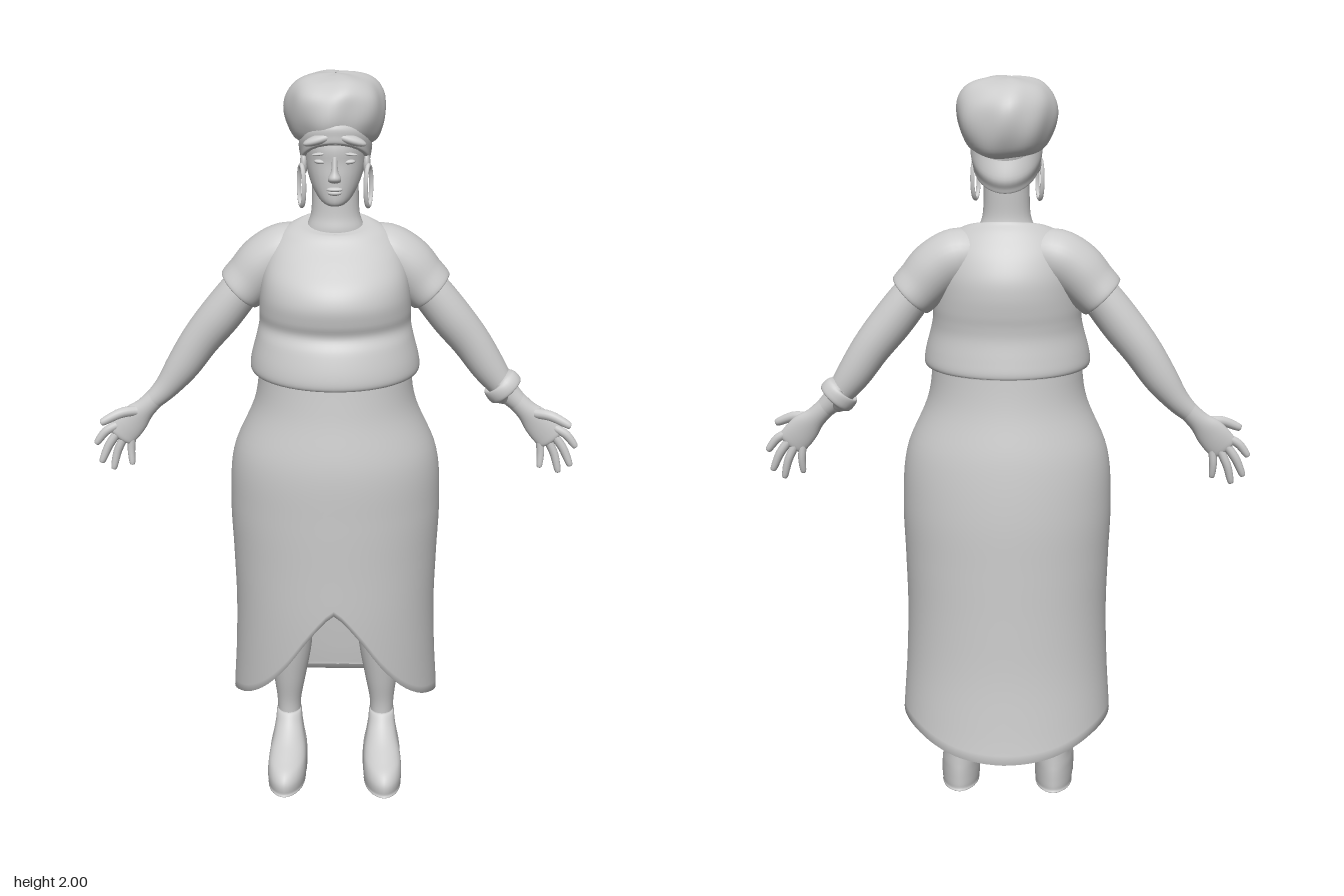
import * as THREE from 'three';

const material = new THREE.MeshStandardMaterial({ color: 0xcccccc, roughness: 0.8, side: THREE.DoubleSide });

// Smooth interpolation through rows of numbers, t in 0..1
function spline(rows, t) {
  const f = t * (rows.length - 1);
  const i = Math.min(Math.floor(f), rows.length - 2);
  const u = f - i;
  const at = (k) => rows[Math.max(0, Math.min(rows.length - 1, k))];
  const [a, b, c, d] = [at(i - 1), at(i), at(i + 1), at(i + 2)];
  return b.map((_, k) => b[k] + 0.5 * u * (c[k] - a[k]
    + u * (2 * a[k] - 5 * b[k] + 4 * c[k] - d[k] + u * (3 * (b[k] - c[k]) + d[k] - a[k]))));
}

// Grid surface closed around: point(t, angle) returns [x, y, z]
function surface(name, rows, sides, point) {
  const pos = [], index = [];
  for (let i = 0; i <= rows; i++) {
    for (let j = 0; j < sides; j++) pos.push(...point(i / rows, (j / sides) * Math.PI * 2));
  }
  for (let i = 0; i < rows; i++) {
    for (let j = 0; j < sides; j++) {
      const k = (j + 1) % sides;
      const a = i * sides + j, b = i * sides + k;
      index.push(a, b, b + sides, a, b + sides, a + sides);
    }
  }
  const g = new THREE.BufferGeometry();
  g.setAttribute('position', new THREE.Float32BufferAttribute(pos, 3));
  g.setIndex(index);
  g.computeVertexNormals();
  const mesh = new THREE.Mesh(g, material);
  mesh.name = name;
  return mesh;
}

// Sweep of ellipses; stations are [x, y, z, radius in xy plane, radius in z]
function loft(name, stations, { sides = 24, steps = 5, side = 1, tweak } = {}) {
  const path = stations.map(([x, ...rest]) => [x * side, ...rest]);
  return surface(name, (path.length - 1) * steps, sides, (t, a) => {
    const [x, y, z, ra, rb] = spline(path, t);
    const p = spline(path, Math.max(0, t - 0.004)), q = spline(path, Math.min(1, t + 0.004));
    const dx = q[0] - p[0], dy = q[1] - p[1], len = Math.hypot(dx, dy) || 1;
    const s = Math.sin(a) * Math.max(ra, 0.0005), c = Math.cos(a) * Math.max(rb, 0.0005);
    const v = [x + (dy / len) * s, y - (dx / len) * s, z + c];
    return tweak ? tweak(v, a, t) : v;
  });
}

// Upright loft; stations are [y, half width, front z, back z]
const upright = (name, rows, options, x = 0) =>
  loft(name, rows.map(([y, w, f, b]) => [x, y, (f + b) / 2, w, (f - b) / 2]), options);

function ball(name, x, y, z, sx, sy, sz, tilt = 0) {
  const m = new THREE.Mesh(new THREE.SphereGeometry(1, 20, 14), material);
  m.name = name;
  m.position.set(x, y, z);
  m.scale.set(sx, sy, sz);
  m.rotation.z = tilt;
  return m;
}

// Long skirt whose hem rises to a slit at the front and dips at the back
function makeSkirt() {
  const profile = [ // [half width, front z, back z] at equal heights from 0.1 to 1.3
    [0.292, 0.2, -0.245], [0.288, 0.212, -0.226], [0.279, 0.226, -0.211], [0.275, 0.235, -0.205],
    [0.279, 0.238, -0.202], [0.284, 0.241, -0.198], [0.272, 0.24, -0.182], [0.212, 0.216, -0.152], [0.2, 0.2, -0.14]];
  const hem = [0.59, 0.515, 0.415, 0.34, 0.295, 0.272, 0.256, 0.25, 0.24, 0.225, 0.205, 0.187, 0.177, 0.173];
  return surface('skirt', 44, 80, (t, a) => {
    const around = Math.min(a, Math.PI * 2 - a) / Math.PI;
    const low = spline(hem.map((h) => [h]), around)[0];
    // First rows fold inwards as the hem's thickness
    const fold = Math.max(0, 1 - t * 22);
    const y = low + (1.225 - low) * Math.max(0, t - 0.045) / 0.955 + 0.025 * fold * fold;
    const [w, f, b] = spline(profile, (y - 0.1) / 1.2);
    const inset = 0.015 * fold;
    return [Math.sin(a) * (w - inset), y, (f + b) / 2 + Math.cos(a) * ((f - b) / 2 - inset)];
  });
}

function makeHead() {
  const head = new THREE.Group();
  head.name = 'head';
  head.add(
    upright('neck', [[1.55, 0.085, 0.05, -0.075], [1.6, 0.076, 0.055, -0.064], [1.64, 0.063, 0.048, -0.056],
      [1.7, 0.06, 0.045, -0.058], [1.75, 0.06, 0.04, -0.06]]),
    upright('face', [[1.677, 0.001, 0.075, 0.073], [1.68, 0.022, 0.095, 0.04], [1.692, 0.04, 0.104, 0],
      [1.72, 0.059, 0.106, -0.05], [1.755, 0.072, 0.106, -0.085], [1.79, 0.079, 0.104, -0.1],
      [1.83, 0.081, 0.105, -0.105], [1.88, 0.075, 0.09, -0.1]]),
    upright('nose', [[1.742, 0.001, 0.108, 0.1], [1.746, 0.015, 0.118, 0.09], [1.757, 0.016, 0.126, 0.09],
      [1.775, 0.009, 0.118, 0.09], [1.81, 0.007, 0.106, 0.09]], { sides: 14 }),
    ball('upperLip', 0, 1.726, 0.104, 0.021, 0.006, 0.009),
    ball('lowerLip', 0, 1.717, 0.103, 0.018, 0.007, 0.009));
  for (const s of [-1, 1]) {
    head.add(ball('eye', s * 0.036, 1.794, 0.09, 0.016, 0.006, 0.009, s * 0.08),
      ball('eyebrow', s * 0.037, 1.814, 0.092, 0.021, 0.004, 0.008, -s * 0.12),
      ball('ear', s * 0.08, 1.775, 0.025, 0.01, 0.03, 0.018));
    const hoop = new THREE.Mesh(new THREE.TorusGeometry(0.05, 0.006, 10, 32), material);
    hoop.name = 'earring';
    hoop.position.set(s * 0.085, 1.725, 0.058);
    hoop.scale.x = 0.42;
    hoop.rotation.y = Math.PI / 2 - s * 0.35;
    hoop.scale.y = 1.05;
    head.add(hoop);
  }
  // Head wrap: a band sloping down to the nape, and a soft lumpy bundle above it
  head.add(
    upright('wrapBand', [[1.778, 0.078, 0.1, -0.1], [1.775, 0.087, 0.112, -0.108], [1.79, 0.09, 0.114, -0.113],
      [1.82, 0.094, 0.11, -0.122], [1.86, 0.09, 0.07, -0.11]],
    { sides: 40, tweak: ([x, y, z]) => [x, y + 0.62 * z, z] }),
    upright('wrapBundle', [[1.8, 0.002, -0.02, -0.03], [1.81, 0.06, 0.05, -0.1], [1.826, 0.102, 0.09, -0.142],
      [1.865, 0.122, 0.108, -0.165], [1.91, 0.129, 0.109, -0.172], [1.95, 0.12, 0.098, -0.162],
      [1.98, 0.094, 0.066, -0.13], [1.994, 0.05, 0.02, -0.08], [1.997, 0.002, -0.02, -0.03]], {
      sides: 56,
      tweak: ([x, y, z], a, t) => {
        const k = 1 + 0.022 * Math.sin(t * Math.PI) * (Math.sin(5 * a + 7 * t) + 0.7 * Math.sin(8 * a - 9 * t));
        return [x * k, y + 0.22 * (z + 0.03) * (1 - t) + 0.004 * Math.sin(4 * a) * Math.sin(t * Math.PI), (z + 0.03) * k - 0.03];
      },
    }));
  for (const s of [-1, 1]) head.add(ball('wrapFold', s * 0.035, 1.853, 0.094, 0.047, 0.013, 0.02, -s * 0.32));
  return head;
}

function makeArm(side) {
  const arm = new THREE.Group();
  arm.name = side > 0 ? 'leftArm' : 'rightArm';
  const opt = { side };
  arm.add(
    loft('sleeve', [[0.07, 1.535, -0.025, 0.06, 0.06], [0.125, 1.532, -0.022, 0.075, 0.078], [0.18, 1.5, -0.02, 0.077, 0.079],
      [0.222, 1.458, -0.02, 0.071, 0.075], [0.25, 1.43, -0.02, 0.067, 0.075], [0.253, 1.427, -0.02, 0.06, 0.068],
      [0.24, 1.44, -0.02, 0.054, 0.06]], { side, sides: 32 }),
    loft('forearm', [[0.2, 1.48, -0.02, 0.05, 0.052], [0.25, 1.425, -0.02, 0.054, 0.055], [0.305, 1.355, -0.022, 0.056, 0.055],
      [0.36, 1.285, -0.026, 0.052, 0.05], [0.41, 1.21, -0.027, 0.046, 0.044], [0.455, 1.15, -0.025, 0.034, 0.034],
      [0.495, 1.11, -0.02, 0.026, 0.025]], opt),
    loft('palm', [[0.48, 1.125, -0.022, 0.027, 0.027], [0.515, 1.09, -0.018, 0.029, 0.024], [0.545, 1.06, -0.015, 0.04, 0.02],
      [0.573, 1.028, -0.012, 0.042, 0.016], [0.588, 1.01, -0.01, 0.036, 0.012], [0.594, 1.003, -0.01, 0.002, 0.002]], opt));
  // Digits: base, middle and tip
  const digits = [
    ['thumb', [0.535, 1.085, -0.008], [0.58, 1.083, 0.008], [0.628, 1.062, 0.022], 0.014],
    ['indexFinger', [0.592, 1.043, -0.01], [0.625, 1.024, -0.006], [0.65, 0.992, -0.004], 0.012],
    ['middleFinger', [0.588, 1.025, -0.011], [0.617, 0.985, -0.01], [0.638, 0.938, -0.006], 0.012],
    ['ringFinger', [0.573, 1.012, -0.012], [0.595, 0.966, -0.012], [0.607, 0.918, -0.008], 0.0115],
    ['littleFinger', [0.553, 1.015, -0.013], [0.558, 0.972, -0.012], [0.556, 0.932, -0.006], 0.0105]];
  for (const [name, a, b, c, r] of digits) {
    const tip = c.map((v, i) => v + (c[i] - b[i]) * 0.07);
    arm.add(loft(name, [[...a, r, r], [...b, r, r], [...c, r * 0.72, r * 0.72], [...tip, 0, 0]], { side, sides: 12 }));
  }
  if (side > 0) {
    arm.add(loft('bracelet', [[0.438, 1.171, -0.026, 0.034, 0.034], [0.439, 1.17, -0.026, 0.047, 0.046],
      [0.449, 1.157, -0.025, 0.052, 0.05], [0.461, 1.143, -0.025, 0.049, 0.047], [0.463, 1.141, -0.025, 0.03, 0.03]], { sides: 28 }));
  }
  return arm;
}

function makeLeg(side) {
  const leg = new THREE.Group();
  leg.name = side > 0 ? 'leftLeg' : 'rightLeg';
  leg.add(
    upright('shin', [[0.13, 0.033, 0.024, -0.05], [0.2, 0.034, 0.026, -0.054], [0.28, 0.046, 0.042, -0.066],
      [0.38, 0.06, 0.06, -0.08], [0.5, 0.064, 0.075, -0.08], [0.65, 0.083, 0.1, -0.085], [0.9, 0.1, 0.12, -0.1]],
    { side, tweak: ([x, y, z]) => [x - side * 0.03 * Math.max(0, y - 0.2), y, z] }, 0.133),
    // Shoe narrows to the heel and stays full at the toe
    upright('shoe', [[0, 0.001, 0.08, 0.07], [0.002, 0.05, 0.198, -0.045], [0.012, 0.055, 0.205, -0.051],
      [0.04, 0.057, 0.205, -0.052], [0.065, 0.056, 0.185, -0.052], [0.085, 0.053, 0.145, -0.051],
      [0.11, 0.046, 0.095, -0.05], [0.14, 0.04, 0.055, -0.05], [0.168, 0.037, 0.031, -0.053], [0.171, 0.03, 0.024, -0.048]], {
      side, sides: 32,
      tweak: ([x, y, z], a) => {
        const k = 0.92 + 0.12 * Math.abs(Math.sin(2 * a));
        return [side * 0.133 + (x - side * 0.133) * k + side * 0.05 * Math.max(0, z - 0.05), y, z];
      },
    }, 0.133));
  return leg;
}

export function createModel() {
  const model = new THREE.Group();
  model.name = 'woman';
  // Blouse: rolled lower edge, full bust, neckline dipping to the front
  model.add(upright('blouse', [[1.245, 0.19, 0.2, -0.13], [1.228, 0.212, 0.226, -0.146], [1.24, 0.223, 0.236, -0.151],
    [1.275, 0.219, 0.232, -0.146], [1.325, 0.206, 0.217, -0.138], [1.36, 0.199, 0.199, -0.139], [1.395, 0.199, 0.208, -0.144],
    [1.44, 0.196, 0.212, -0.147], [1.485, 0.19, 0.192, -0.142], [1.53, 0.178, 0.145, -0.124],
    [1.57, 0.16, 0.098, -0.1], [1.598, 0.132, 0.078, -0.08], [1.612, 0.1, 0.068, -0.07], [1.612, 0.074, 0.058, -0.062], [1.6, 0.066, 0.05, -0.056]], {
    sides: 56,
    tweak: ([x, y, z], a, t) => [x, y - 0.25 * z * THREE.MathUtils.smoothstep(t, 0.7, 0.9), z],
  }));
  model.add(makeSkirt(), makeHead());
  for (const side of [-1, 1]) model.add(makeArm(side), makeLeg(side));
  return model;
}
